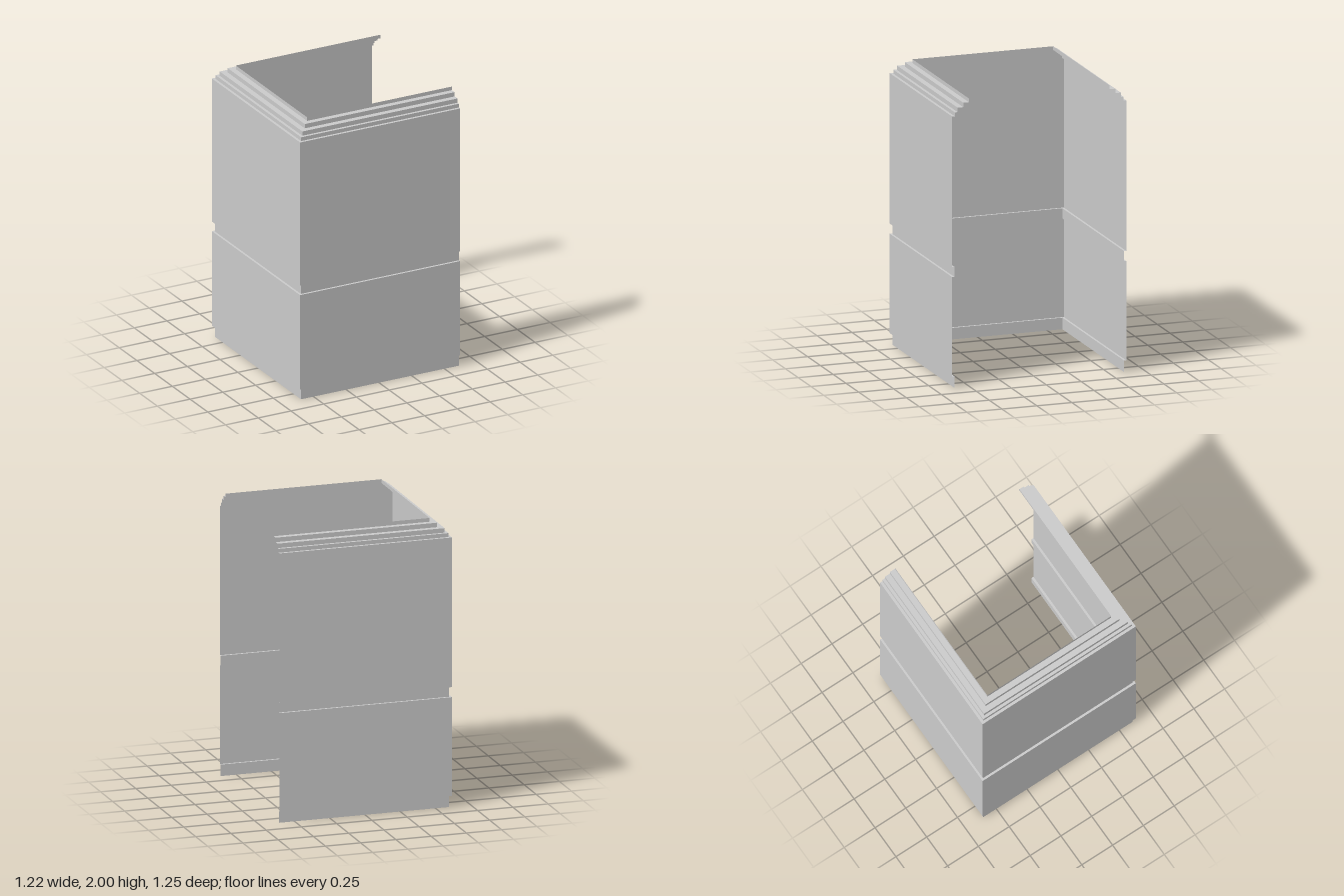
import * as THREE from 'three';

const HALF_X = 0.612;
const HALF_Z = 0.6225;
const material = new THREE.MeshStandardMaterial({ color: 0xcccccc, flatShading: true, side: THREE.DoubleSide });

// Sweeps a profile of [inset, y] points round three walls, mitred at the corners; the +x side stays open.
function wallBand(name, profile) {
  const ring = ([inset, y]) => {
    const x = -HALF_X + inset, z = HALF_Z - inset;
    return [[HALF_X, y, z], [x, y, z], [x, y, -z], [HALF_X, y, -z]];
  };
  const positions = [];
  for (let i = 0; i < profile.length - 1; i++) {
    const low = ring(profile[i]), high = ring(profile[i + 1]);
    for (let j = 0; j < 3; j++) {
      positions.push(...low[j], ...high[j], ...high[j + 1]);
      positions.push(...low[j], ...high[j + 1], ...low[j + 1]);
    }
  }
  const geometry = new THREE.BufferGeometry();
  geometry.setAttribute('position', new THREE.Float32BufferAttribute(positions, 3));
  geometry.computeVertexNormals();
  const mesh = new THREE.Mesh(geometry, material);
  mesh.name = name;
  return mesh;
}

export function createModel() {
  const model = new THREE.Group();
  model.name = 'threeSidedWall';
  const groove = 0.016;

  model.add(
    // Recessed base with the ledge under the lower wall
    wallBand('basePlinth', [[groove, 0], [groove, 0.08], [0, 0.08]]),
    wallBand('lowerWall', [[0, 0.08], [0, 0.77]]),
    // Shallow channel between the two storeys
    wallBand('groove', [[0, 0.77], [groove, 0.77], [groove, 0.84], [0, 0.84]]),
    wallBand('upperWall', [[0, 0.84], [0, 1.885]])
  );

  // Cornice stepping inwards to the open top
  const cornice = [[0, 1.885]];
  const steps = [[0.019, 1.885, 1.912], [0.039, 1.912, 1.943], [0.079, 1.943, 1.974], [0.119, 1.974, 2]];
  for (const [inset, bottom, top] of steps) cornice.push([inset, bottom], [inset, top]);
  model.add(wallBand('steppedCornice', cornice));

  return model;
}
